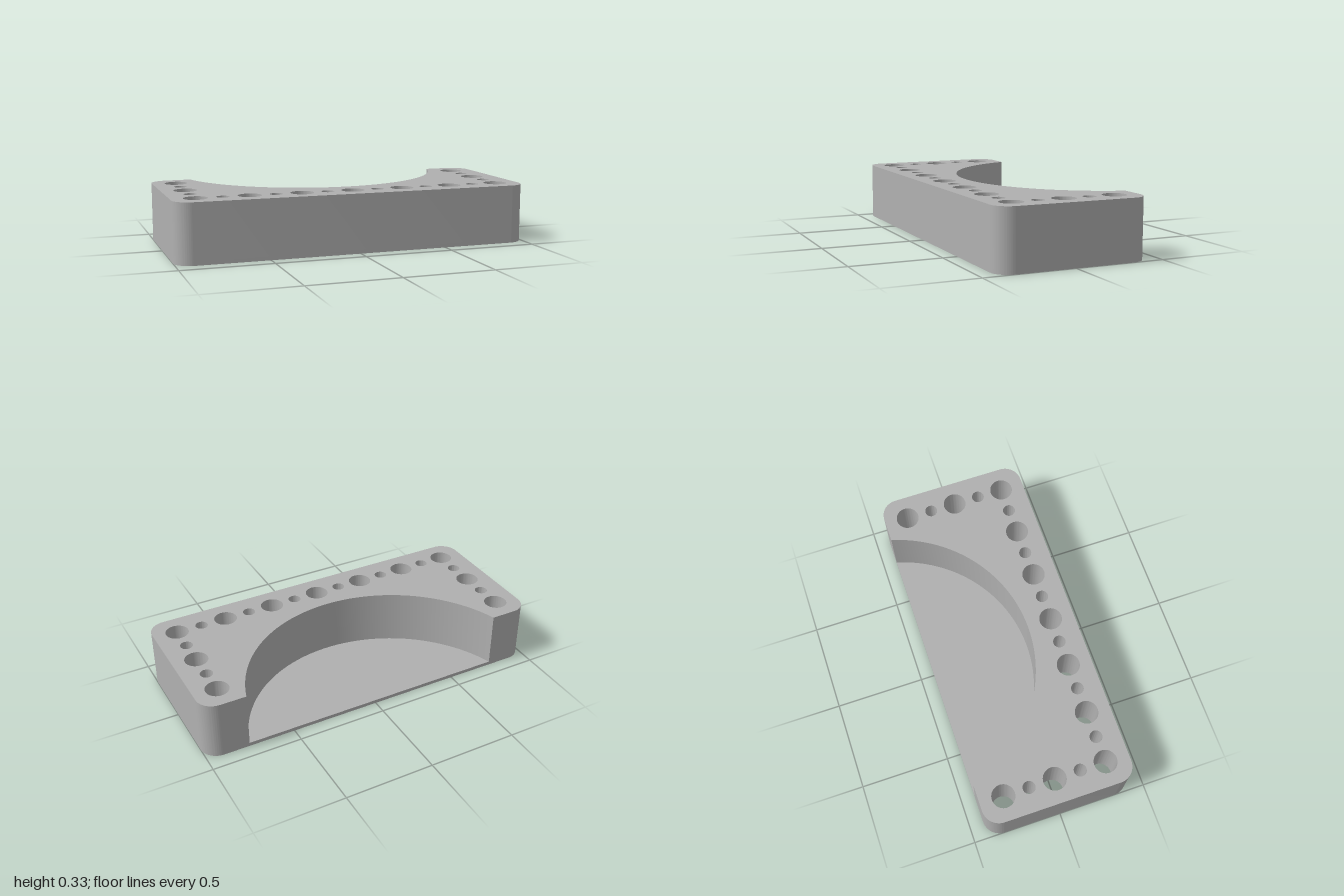
import * as THREE from 'three';
import { toCreasedNormals } from 'three/addons/utils/BufferGeometryUtils.js';

const HALF_X = 1, HALF_Z = 0.421, HEIGHT = 0.328, FLOOR = 0.02, CORNER = 0.095;
const PITCH = 0.289, BIG = 0.064, SMALL = 0.035;
const NOTCH_R = 0.792, NOTCH_Y = 0.64; // shape y is -z
const NOTCH_ANGLE = Math.asin((HALF_Z - NOTCH_Y) / NOTCH_R);

// Clockwise arc of the round pocket, from +x to -x
function notchArc(path) {
  path.absarc(0, NOTCH_Y, NOTCH_R, NOTCH_ANGLE, -Math.PI - NOTCH_ANGLE, true);
}

// Rounded rectangle with alternating large and small holes on three sides
function outline(withNotch) {
  const s = new THREE.Shape();
  const x = HALF_X - CORNER, y = HALF_Z - CORNER;
  s.absarc(-x, -y, CORNER, Math.PI, Math.PI * 1.5);
  s.absarc(x, -y, CORNER, Math.PI * 1.5, Math.PI * 2);
  s.absarc(x, y, CORNER, 0, Math.PI / 2);
  if (withNotch) notchArc(s);
  s.absarc(-x, y, CORNER, Math.PI / 2, Math.PI);
  s.closePath();

  const drill = (hx, hy, step) => {
    const hole = new THREE.Path();
    hole.absarc(hx, hy, step % 2 ? SMALL : BIG, 0, Math.PI * 2, true);
    s.holes.push(hole);
  };
  for (let i = -6; i <= 6; i++) drill(i * PITCH / 2, -PITCH, i);
  for (let i = -1; i <= 2; i++) {
    drill(-3 * PITCH, i * PITCH / 2, i);
    drill(3 * PITCH, i * PITCH / 2, i);
  }
  return s;
}

// Upright slab with the cap at the shared joint height left out
function slab(shape, y0, y1) {
  const g = new THREE.ExtrudeGeometry(shape, { depth: y1 - y0, bevelEnabled: false, curveSegments: 32 });
  g.rotateX(-Math.PI / 2).translate(0, y0, 0);
  const p = g.attributes.position, kept = [];
  for (let i = 0; i < p.count; i += 3) {
    if ([0, 1, 2].every(k => Math.abs(p.getY(i + k) - FLOOR) < 1e-5)) continue;
    for (let k = 0; k < 3; k++) kept.push(p.getX(i + k), p.getY(i + k), p.getZ(i + k));
  }
  const open = new THREE.BufferGeometry();
  open.setAttribute('position', new THREE.Float32BufferAttribute(kept, 3));
  return toCreasedNormals(open, 0.5);
}

export function createModel() {
  const group = new THREE.Group();
  const grey = new THREE.MeshStandardMaterial({ color: 0xb0b0b0 });
  grey.name = 'grey';
  const add = (name, geometry) => {
    const mesh = new THREE.Mesh(geometry, grey);
    mesh.name = name;
    group.add(mesh);
  };

  add('basePlate', slab(outline(false), 0, FLOOR));
  add('drilledBody', slab(outline(true), FLOOR, HEIGHT));

  // Floor of the pocket
  const floor = new THREE.Shape();
  notchArc(floor);
  floor.closePath();
  add('pocketFloor', new THREE.ShapeGeometry(floor, 32).rotateX(-Math.PI / 2).translate(0, FLOOR, 0));

  return group;
}
